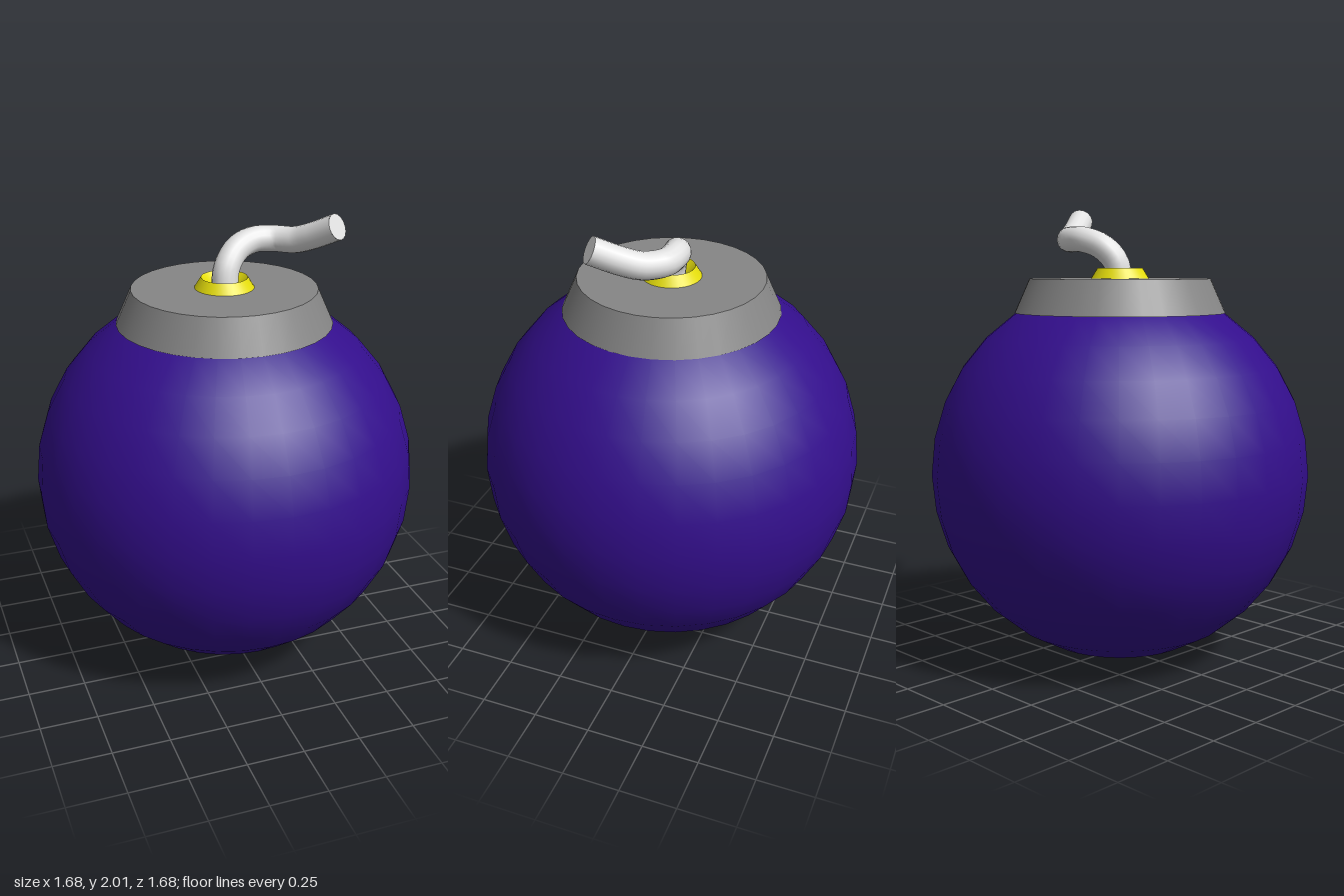
import * as THREE from 'three';
import { toCreasedNormals } from 'three/addons/utils/BufferGeometryUtils.js';

function material(name, color) {
  const m = new THREE.MeshStandardMaterial({ color });
  m.name = name;
  return m;
}

export function createModel() {
  const group = new THREE.Group();
  group.name = 'bomb';
  const purple = material('deep purple', 0x330e8c);
  const grey = material('cap grey', 0x868686);
  const yellow = material('collar yellow', 0xe6de0c);
  const white = material('fuse white', 0xe2e2e2);

  function add(name, geometry, mat, y = 0) {
    const mesh = new THREE.Mesh(geometry, mat);
    mesh.name = name;
    mesh.position.y = y;
    group.add(mesh);
    return mesh;
  }

  // Round body
  add('body', new THREE.SphereGeometry(0.84, 32, 16), purple, 0.84);

  // Tapered cap
  add('cap', new THREE.CylinderGeometry(0.4, 0.467, 0.15, 32), grey, 1.618);

  // Bevelled collar with a funnel-shaped hole
  const profile = [[0.13, 1.69], [0.1, 1.738], [0.06, 1.695]].map(([x, y]) => new THREE.Vector2(x, y));
  add('collar', toCreasedNormals(new THREE.LatheGeometry(profile, 32), 0.6), yellow);

  // Curled fuse
  const path = new THREE.CatmullRomCurve3([
    [0, 1.68, 0], [0.015, 1.77, -0.015], [0.07, 1.835, -0.05], [0.16, 1.865, -0.08],
    [0.25, 1.865, -0.068], [0.32, 1.87, 0], [0.37, 1.9, 0.07], [0.437, 1.957, 0.17],
  ].map((p) => new THREE.Vector3(...p)));
  const fuseRadius = 0.057;
  add('fuse', new THREE.TubeGeometry(path, 28, fuseRadius, 16), white);

  // Flat end of the fuse
  const tip = add('fuseTip', new THREE.CircleGeometry(fuseRadius, 16), white);
  tip.position.copy(path.getPointAt(1));
  tip.quaternion.setFromUnitVectors(new THREE.Vector3(0, 0, 1), path.getTangentAt(1));

  return group;
}
